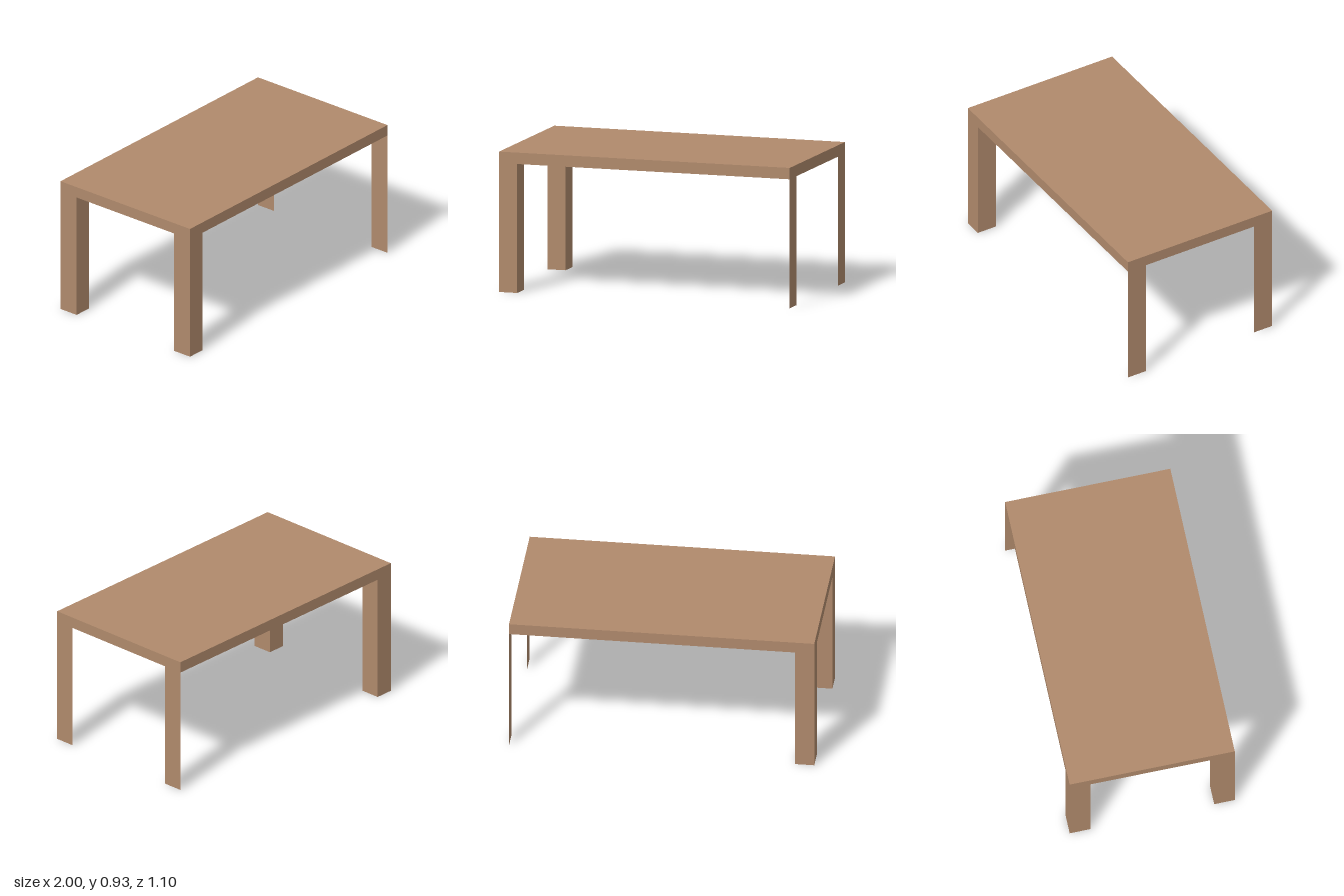
import * as THREE from 'three';

export function createModel() {
  const table = new THREE.Group();
  table.name = 'table';
  const wood = new THREE.MeshStandardMaterial({ color: 0xb08a6c, side: THREE.DoubleSide });
  wood.name = 'wood';

  const halfDepth = 0.549, topY = 0.925, underY = 0.85;
  const legWidth = 0.125, legDepth = 0.137;

  const add = (name, geometry, x, y, z) => {
    const mesh = new THREE.Mesh(geometry, wood);
    mesh.name = name;
    mesh.position.set(x, y, z);
    table.add(mesh);
    return mesh;
  };

  // Slab top
  add('tableTop', new THREE.BoxGeometry(2, topY - underY, halfDepth * 2), 0, (topY + underY) / 2, 0);

  // Solid legs at one end, flat panel legs flush with the other end
  for (const [side, s] of [['front', 1], ['back', -1]]) {
    const z = s * (halfDepth - legDepth / 2);
    add(side + 'RightLeg', new THREE.BoxGeometry(legWidth, underY, legDepth), -1 + legWidth / 2, underY / 2, z);
    add(side + 'LeftPanelLeg', new THREE.PlaneGeometry(legDepth, underY), 1, underY / 2, z).rotation.y = Math.PI / 2;
  }
  return table;
}
